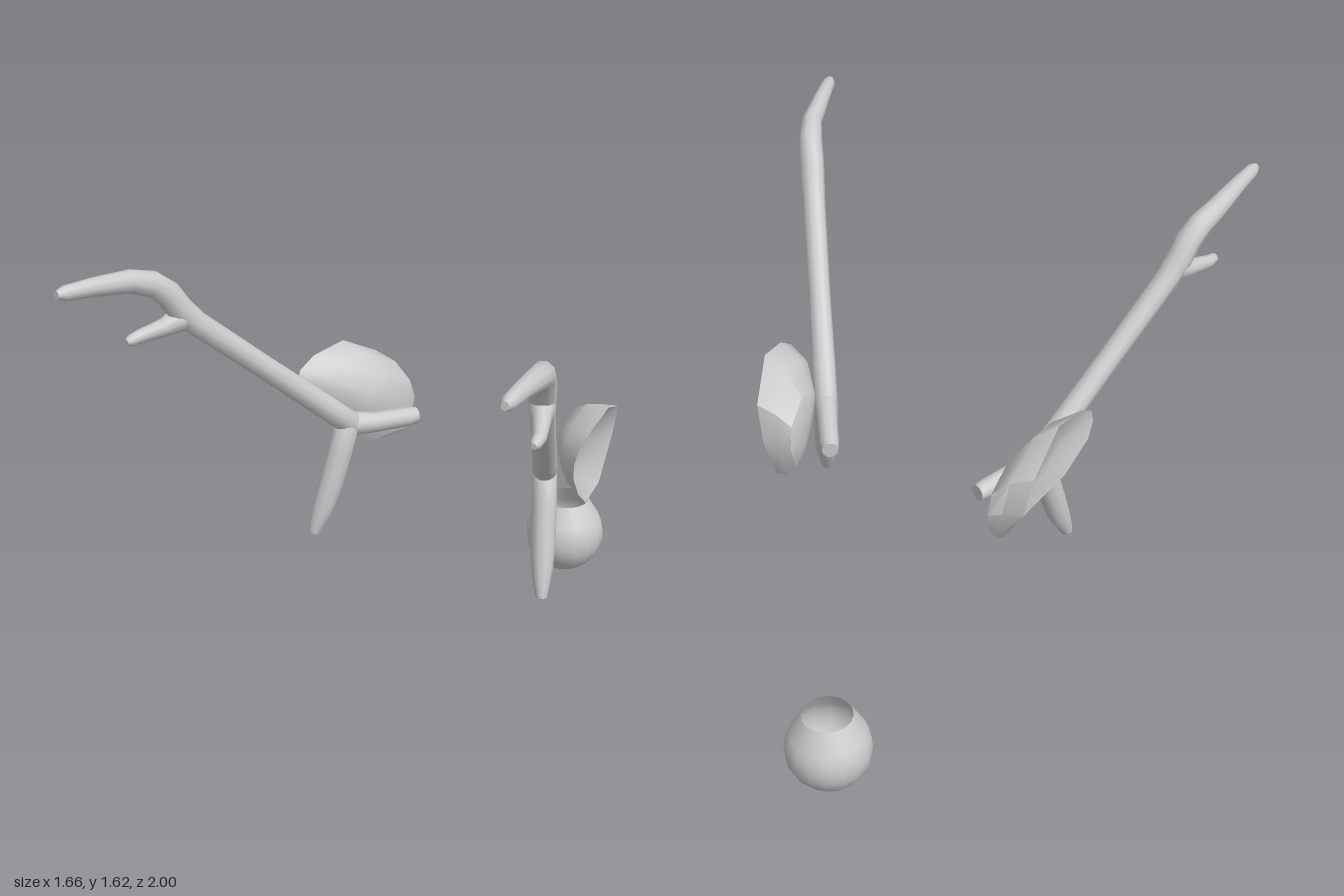
import * as THREE from 'three';
import { toCreasedNormals } from 'three/addons/utils/BufferGeometryUtils.js';

const grey = new THREE.MeshStandardMaterial({ color: 0xcccccc });
const greyOpen = new THREE.MeshStandardMaterial({ color: 0xcccccc, side: THREE.DoubleSide });

// Skins a list of rings (arrays of Vector3, counter-clockwise about the path) and caps both ends
function loft(rings, crease) {
  const n = rings[0].length, last = rings.length - 1;
  const pts = rings.flat(), index = [];
  for (let i = 0; i < last; i++) {
    for (let k = 0; k < n; k++) {
      const a = i * n + k, b = i * n + (k + 1) % n;
      index.push(a, b, a + n, b, b + n, a + n);
    }
  }
  for (const [i, end] of [[0, false], [last, true]]) {
    const centre = new THREE.Vector3();
    rings[i].forEach((p) => centre.addScaledVector(p, 1 / n));
    const c = pts.push(centre) - 1;
    for (let k = 0; k < n; k++) {
      const a = i * n + k, b = i * n + (k + 1) % n;
      index.push(...(end ? [c, a, b] : [c, b, a]));
    }
  }
  const geometry = new THREE.BufferGeometry().setFromPoints(pts);
  geometry.setIndex(index);
  return toCreasedNormals(geometry, crease);
}

// Antlers splay outwards in plan, then turn forwards beyond the fork
const KINK = 0.69;
const splay = (z) => 0.387 + 0.54 * Math.min(z, KINK) + 0.2 * Math.max(z - KINK, 0);

// Tapered branch following the splay; stations are [z, y, radius]
function branch(name, s, stations) {
  const path = stations.map(([z, y]) => new THREE.Vector3(s * splay(z), y, z));
  const rings = stations.map(([, , r], i) => {
    const t = path[Math.min(i + 1, path.length - 1)].clone().sub(path[Math.max(i - 1, 0)]).normalize();
    const across = new THREE.Vector3(t.z, 0, -t.x).normalize();
    const along = t.clone().cross(across);
    return Array.from({ length: 10 }, (_, k) => {
      const a = (k / 10) * Math.PI * 2;
      return path[i].clone().addScaledVector(across, 0.94 * r * Math.cos(a)).addScaledVector(along, r * Math.sin(a));
    });
  });
  const mesh = new THREE.Mesh(loft(rings, 0.9), grey);
  mesh.name = name;
  return mesh;
}

function antler(s) {
  const group = new THREE.Group();
  group.name = s > 0 ? 'leftAntler' : 'rightAntler';
  group.add(
    branch('beam', s, [[0, 0.85, 0.025], [0.03, 0.885, 0.044], [0.1, 0.955, 0.044], [0.3, 1.155, 0.041],
      [0.52, 1.375, 0.043], [0.57, 1.44, 0.046], [0.6, 1.495, 0.046], [0.645, 1.538, 0.044],
      [0.72, 1.565, 0.039], [0.86, 1.585, 0.031], [0.97, 1.595, 0.025], [0.997, 1.597, 0.014]]),
    branch('forkTine', s, [[0.53, 1.41, 0.03], [0.57, 1.4, 0.044], [0.62, 1.38, 0.031],
      [0.7, 1.366, 0.023], [0.735, 1.362, 0.019], [0.748, 1.361, 0.01]]),
    branch('browTine', s, [[0.03, 0.92, 0.025], [0.04, 0.88, 0.044], [0.065, 0.79, 0.046], [0.1, 0.67, 0.045],
      [0.128, 0.585, 0.04], [0.155, 0.52, 0.028], [0.166, 0.488, 0.02]]),
    branch('rearTine', s, [[0.06, 0.89, 0.03], [0.02, 0.88, 0.042], [-0.05, 0.866, 0.037],
      [-0.17, 0.857, 0.035], [-0.202, 0.855, 0.03]]),
  );
  if (s < 0) group.position.set(0.015, -0.02, 0);
  return group;
}

// Cupped ear: domed outer back, belly, rim and hollow floor; rim outline is [z, y]
const RIM = [[0.11, 0.98], [0.1, 1.03], [0.035, 1.075], [-0.1, 1.107], [-0.28, 1.03],
  [-0.318, 0.91], [-0.255, 0.738], [-0.1, 0.735], [0.01, 0.82], [0.09, 0.92]];
function ear(s, { x, tiltY, bowY, tiltZ, back, skew, drop }) {
  const rimX = (z, y) => x + tiltY * (y - 0.92) - bowY * (y - 0.97) ** 2
    + tiltZ * (z + 0.1) - 0.4 * (z + 0.02) ** 2;
  const backX = (z) => back + 0.1 * (z + 0.3);
  const ring = (scale, dz, dy, depth) => {
    const loop = RIM.map(([z0, y0]) => {
      const z = -0.11 + (z0 + 0.11) * scale + dz, y = 0.91 + (y0 - 0.91) * scale + dy;
      return new THREE.Vector3(s * depth(z, y), y + skew * (z + 0.1), z);
    });
    return s > 0 ? loop.reverse() : loop;
  };
  const between = (f) => (z, y) => THREE.MathUtils.lerp(backX(z), rimX(z, y), f);
  const rings = [
    ring(0.3, -0.1, -drop, backX),
    ring(0.6, -0.08, -drop, between(0.1)),
    ring(0.88, -0.03, -drop / 3, between(0.5)),
    ring(1, 0, 0, rimX),
    ring(0.52, 0, 0, (z, y) => rimX(z, y) - 0.07),
  ];
  const mesh = new THREE.Mesh(loft(rings, 0.75), grey);
  mesh.name = s > 0 ? 'leftEar' : 'rightEar';
  return mesh;
}

// Round tail with an open, flat-cut top
function tail() {
  const profile = [];
  for (let i = 0; i <= 8; i++) {
    const a = (i / 8) * Math.PI * 0.66;
    profile.push(new THREE.Vector2(0.15 * Math.sin(a), 0.15 - 0.15 * Math.cos(a)));
  }
  profile.push(new THREE.Vector2(0.088, 0.295));
  const mesh = new THREE.Mesh(new THREE.LatheGeometry(profile, 16), greyOpen);
  mesh.name = 'tail';
  mesh.position.z = -0.849;
  return mesh;
}

export function createModel() {
  const model = new THREE.Group();
  model.name = 'antlersEarsAndTail';
  model.add(
    antler(1), antler(-1),
    ear(1, { x: 0.53, tiltY: 0.2, bowY: 0, tiltZ: 0.1, back: 0.36, skew: 0, drop: 0 }),
    ear(-1, { x: 0.535, tiltY: 0.05, bowY: 2, tiltZ: 0.1, back: 0.332, skew: 0.12, drop: 0.04 }),
    tail(),
  );
  return model;
}
